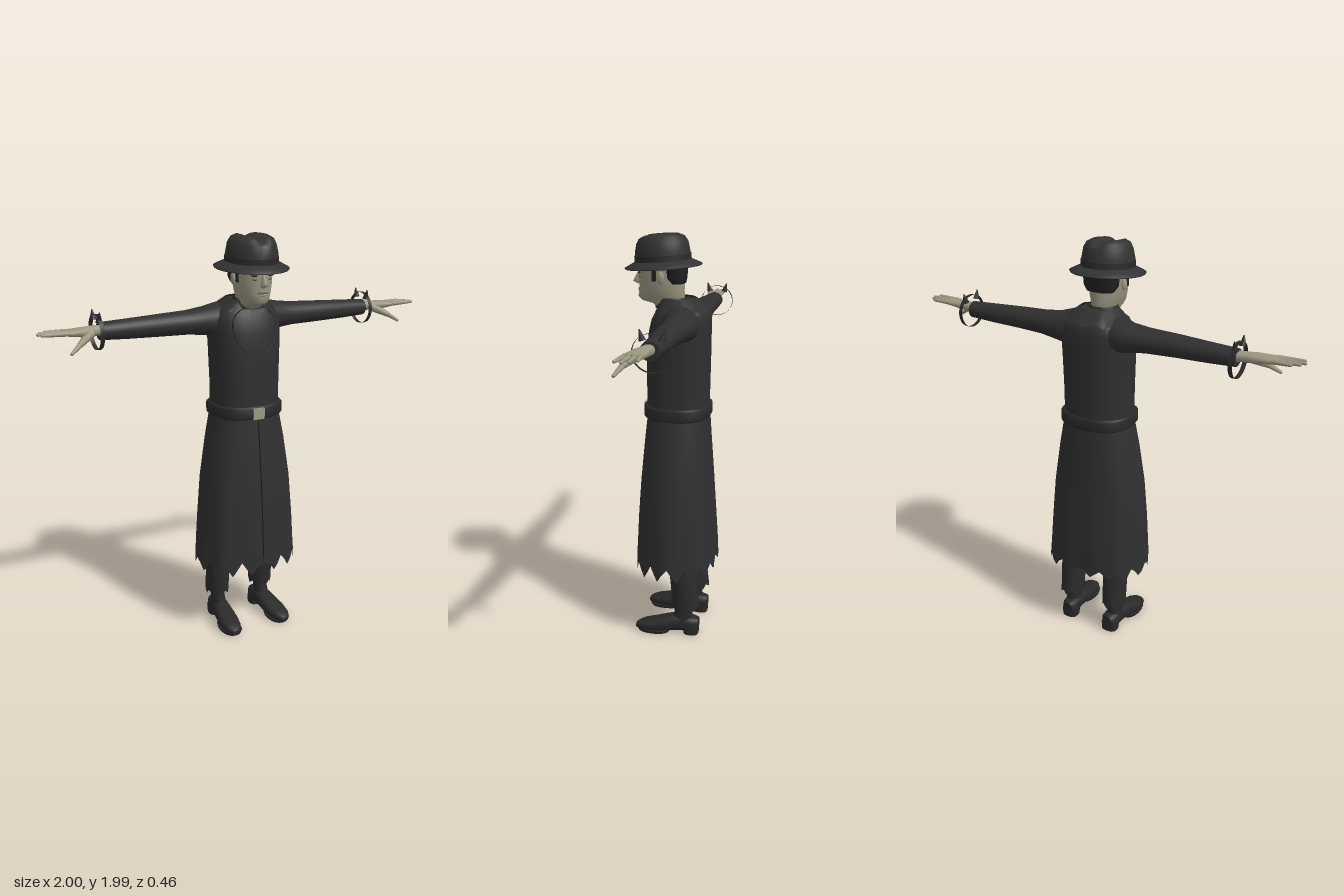
import * as THREE from 'three';

const paint = (name, color, side = THREE.FrontSide) => {
  const m = new THREE.MeshStandardMaterial({ color, side });
  m.name = name;
  return m;
};

// Unit axes [U, V, W]: a ring lies in U-V and travels along W.
const AXES = { x: ['y', 'z', 'x'], y: ['z', 'x', 'y'], z: ['x', 'y', 'z'] };

// Skin over rings [w, centreU, centreV, radiusU, radiusV]; p squares the section.
function loft(axis, rings, { n = 32, p = 2, caps = true, mod } = {}) {
  const [U, V, W] = AXES[axis], pos = [], idx = [];
  const pw = (v) => Math.sign(v) * Math.abs(v) ** (2 / p);
  const ringPoints = rings.map(([w, cu, cv, ru, rv], i) => {
    const list = [];
    for (let j = 0; j < n; j++) {
      const a = (j / n) * Math.PI * 2, v = new THREE.Vector3();
      v[U] = cu + ru * pw(Math.cos(a));
      v[V] = cv + rv * pw(Math.sin(a));
      v[W] = w;
      if (mod) mod(v, a, i, j);
      list.push(v);
    }
    return list;
  });
  ringPoints.flat().forEach((v) => pos.push(v.x, v.y, v.z));
  for (let i = 0; i < rings.length - 1; i++) {
    for (let j = 0; j < n; j++) {
      const k = (j + 1) % n, a = i * n + j, b = i * n + k;
      idx.push(a, b, b + n, a, b + n, a + n);
    }
  }
  if (caps) {
    for (const end of [0, rings.length - 1]) {
      const start = pos.length / 3, c = new THREE.Vector3();
      ringPoints[end].forEach((v) => { pos.push(v.x, v.y, v.z); c.addScaledVector(v, 1 / n); });
      pos.push(c.x, c.y, c.z);
      for (let j = 0; j < n; j++) {
        const a = start + j, b = start + (j + 1) % n;
        idx.push(start + n, ...(end ? [a, b] : [b, a]));
      }
    }
  }
  const g = new THREE.BufferGeometry();
  g.setAttribute('position', new THREE.Float32BufferAttribute(pos, 3));
  g.setIndex(idx);
  g.computeVertexNormals();
  return g;
}

// Tapered rod between two points.
function rod(a, b, r1, r2) {
  const A = new THREE.Vector3(...a), B = new THREE.Vector3(...b), d = B.clone().sub(A);
  const g = new THREE.CylinderGeometry(r2, r1, d.length(), 10);
  g.applyQuaternion(new THREE.Quaternion().setFromUnitVectors(new THREE.Vector3(0, 1, 0), d.normalize()));
  const m = A.add(B).multiplyScalar(0.5);
  return g.translate(m.x, m.y, m.z);
}

const ball = (x, y, z, rx, ry, rz) => new THREE.SphereGeometry(1, 16, 12).scale(rx, ry, rz).translate(x, y, z);
const box = (x, y, z, w, h, d) => new THREE.BoxGeometry(w, h, d).translate(x, y, z);

function mirrored(g) {
  const m = g.clone().scale(-1, 1, 1), a = m.index.array;
  for (let i = 0; i < a.length; i += 3) [a[i + 1], a[i + 2]] = [a[i + 2], a[i + 1]];
  return m;
}

export function createModel() {
  const model = new THREE.Group();
  const coat = paint('coat black', 0x2f2f2f, THREE.DoubleSide);
  const felt = paint('hat felt', 0x323232);
  const trousers = paint('trouser black', 0x2b2b2b, THREE.DoubleSide);
  const leather = paint('leather', 0x292929, THREE.DoubleSide);
  const skin = paint('skin', 0x99967f);
  const shade = paint('lip and lid', 0x66634f);
  const hairMat = paint('hair', 0x202020);
  const metal = paint('buckle metal', 0x9c9983);
  const seamMat = paint('seam', 0x191919);

  const add = (name, g, mat) => {
    const m = new THREE.Mesh(g, mat);
    m.name = name;
    model.add(m);
    return m;
  };
  const pair = (name, g, mat) => {
    add('left' + name, g, mat);
    add('right' + name, mirrored(g), mat);
  };

  // Coat body
  const torso = [
    [1.14, -0.023, 0, 0.147, 0.165], [1.3, -0.023, 0, 0.15, 0.165], [1.45, -0.025, 0, 0.15, 0.17],
    [1.54, -0.03, 0, 0.145, 0.174], [1.6, -0.037, 0, 0.138, 0.172], [1.64, -0.042, 0, 0.122, 0.155],
    [1.67, -0.035, 0, 0.1, 0.118], [1.69, -0.02, 0, 0.078, 0.085],
  ];
  add('coatBody', loft('y', torso, { n: 40, p: 2.4 }), coat);

  // Curved lapel seams lying on the chest
  const chestZ = (x, y) => {
    const i = Math.max(1, torso.findIndex((r) => r[0] >= y)), A = torso[i - 1], B = torso[i];
    const t = (y - A[0]) / (B[0] - A[0]), f = (k) => A[k] + (B[k] - A[k]) * t;
    return f(1) + f(3) * (1 - Math.abs(x / f(4)) ** 2.4) ** (1 / 2.4);
  };
  const lapel = [[0.05, 1.655], [0.09, 1.63], [0.112, 1.59], [0.108, 1.53], [0.08, 1.48], [0.04, 1.445]];
  const lapelCurve = new THREE.CatmullRomCurve3(lapel.map(([x, y]) => new THREE.Vector3(x, y, chestZ(x, y))));
  pair('LapelSeam', new THREE.TubeGeometry(lapelCurve, 30, 0.0025, 6), seamMat);

  // Collar: neck band and a ragged flap that drops over the back
  add('collarBand', loft('y', [[1.65, 0.005, 0, 0.085, 0.085], [1.7, 0.012, 0, 0.068, 0.07]],
    { caps: false }), coat);
  add('collarFlap', loft('y', [[1.635, -0.045, 0, 0.132, 0.158], [1.67, -0.035, 0, 0.108, 0.125],
    [1.698, -0.02, 0, 0.082, 0.09]], {
    n: 40, caps: false, p: 2.2,
    mod: (v, a, i, j) => { if (i === 0) v.y += (j % 4) * 0.006; v.y -= Math.max(0, Math.cos(a)) * 0.012; },
  }), coat);

  // Coat skirt with soft folds and a torn hem
  add('coatSkirt', loft('y', [[0.34, -0.022, 0, 0.213, 0.268], [0.46, -0.022, 0, 0.206, 0.261],
    [0.6, -0.02, 0, 0.196, 0.251], [0.8, -0.02, 0, 0.18, 0.233], [1.0, -0.022, 0, 0.162, 0.2],
    [1.15, -0.025, 0, 0.148, 0.168]], {
    n: 64, p: 2.3, caps: false,
    mod: (v, a, i, j) => {
      const k = 1 - i / 5;
      const s = 1 + k * (0.025 * (Math.cos(8 * a) - 1) - 0.09 * Math.exp(-(((a - Math.PI) / 0.2) ** 2)));
      v.x *= s;
      v.z = -0.022 + (v.z + 0.022) * s;
      if (i === 0) v.y += 0.028 * Math.abs((j % 4) - 2) + 0.008 * Math.sin(j * 1.7);
    },
  }), coat);
  const front = new THREE.CatmullRomCurve3([[1.14, 0.124], [1.0, 0.14], [0.8, 0.16], [0.6, 0.176], [0.4, 0.188]]
    .map(([y, z]) => new THREE.Vector3(0, y, z)));
  add('frontSeam', new THREE.TubeGeometry(front, 20, 0.003, 6), seamMat);

  // Belt
  add('belt', loft('y', [[1.128, -0.022, 0, 0.152, 0.174], [1.138, -0.022, 0, 0.162, 0.181],
    [1.18, -0.022, 0, 0.162, 0.181], [1.19, -0.022, 0, 0.15, 0.172]], { n: 40, p: 2.5 }), leather);
  add('buckle', box(-0.005, 1.157, 0.139, 0.058, 0.054, 0.014), metal);

  // Arms
  pair('Sleeve', loft('x', [[0.04, 1.6, -0.045, 0.075, 0.09], [0.13, 1.588, -0.055, 0.085, 0.093],
    [0.19, 1.588, -0.068, 0.068, 0.08], [0.28, 1.588, -0.064, 0.057, 0.067], [0.42, 1.587, -0.06, 0.052, 0.058],
    [0.58, 1.585, -0.062, 0.046, 0.049], [0.71, 1.585, -0.063, 0.04, 0.043]], { n: 28 }), coat);

  // Loose wrist bands with pointed tabs
  pair('WristBand', loft('x', [[0.706, 1.58, -0.075, 0.08, 0.085], [0.726, 1.58, -0.075, 0.08, 0.085]],
    { caps: false }), leather);
  for (const z of [-0.115, -0.035]) {
    pair('WristTab', rod([0.716, 1.63, z], [0.716, 1.675, z + (z + 0.075) * 0.3], 0.016, 0.002), leather);
  }

  // Hands
  pair('Palm', loft('x', [[0.69, 1.59, -0.06, 0.024, 0.028], [0.75, 1.592, -0.053, 0.023, 0.028],
    [0.79, 1.592, -0.043, 0.022, 0.037], [0.85, 1.595, -0.038, 0.016, 0.043], [0.885, 1.597, -0.038, 0.011, 0.041]],
    { n: 20, p: 2.3 }), skin);
  for (const [z, tipZ, tipX] of [[-0.068, -0.08, 0.948], [-0.048, -0.055, 0.978], [-0.026, -0.028, 0.992], [-0.006, 0.002, 0.98]]) {
    pair('Finger', rod([0.86, 1.597, z], [tipX, 1.6, tipZ], 0.0115, 0.007), skin);
    pair('FingerTip', ball(tipX, 1.6, tipZ, 0.009, 0.007, 0.007), skin);
  }
  pair('ThumbBase', rod([0.755, 1.585, -0.035], [0.82, 1.55, 0.015], 0.022, 0.014), skin);
  pair('ThumbJoint', ball(0.82, 1.55, 0.015, 0.014, 0.014, 0.014), skin);
  pair('ThumbTip', rod([0.82, 1.55, 0.015], [0.872, 1.515, 0.042], 0.013, 0.007), skin);

  // Head and neck
  add('head', loft('y', [[1.63, 0.01, 0, 0.06, 0.062], [1.67, 0.03, 0, 0.072, 0.06], [1.682, 0.056, 0, 0.1, 0.058],
    [1.7, 0.062, 0, 0.112, 0.066], [1.73, 0.06, 0, 0.108, 0.078], [1.78, 0.06, 0, 0.11, 0.087],
    [1.87, 0.06, 0, 0.11, 0.09]], { n: 36 }), skin);
  add('nose', loft('y', [[1.758, 0.165, 0, 0.012, 0.012], [1.768, 0.17, 0, 0.031, 0.018],
    [1.785, 0.167, 0, 0.025, 0.012], [1.82, 0.16, 0, 0.014, 0.009]], { n: 16 }), skin);
  add('upperLip', ball(0, 1.735, 0.164, 0.028, 0.006, 0.01), shade);
  add('lowerLip', ball(0, 1.725, 0.165, 0.022, 0.005, 0.01), skin);
  pair('Eye', ball(0.035, 1.797, 0.156, 0.015, 0.006, 0.008), shade);
  pair('Brow', ball(0.037, 1.814, 0.157, 0.021, 0.005, 0.008), hairMat);
  pair('Ear', ball(0.092, 1.795, 0.045, 0.01, 0.03, 0.018), skin);
  pair('Sideburn', box(0.086, 1.815, 0.078, 0.01, 0.07, 0.02), hairMat);
  add('hair', loft('y', [[1.765, -0.015, 0, 0.038, 0.068], [1.79, -0.008, 0, 0.05, 0.086],
    [1.87, -0.004, 0, 0.058, 0.094]], { n: 32, p: 2.3 }), hairMat);

  // Hat: brim, band and a creased, pinched crown
  const hat = new THREE.Group();
  hat.name = 'hat';
  hat.position.set(0, 1.85, 0.053);
  hat.rotation.x = 0.07;
  model.add(hat);
  const brim = loft('y', [[0, 0, 0, 0.1, 0.08], [-0.006, 0, 0, 0.13, 0.12], [-0.012, 0, 0, 0.18, 0.172],
    [-0.006, 0, 0, 0.184, 0.176], [0.006, 0, 0, 0.16, 0.152], [0.022, 0, 0, 0.128, 0.12]], { n: 48 });
  const crown = loft('y', [[0.015, 0, 0, 0.132, 0.122], [0.06, 0, 0, 0.13, 0.12], [0.1, 0, 0, 0.124, 0.114],
    [0.125, 0, 0, 0.112, 0.1], [0.138, 0, 0, 0.088, 0.075], [0.139, 0, 0, 0.055, 0.045], [0.135, 0, 0, 0.02, 0.015]], {
    n: 48,
    mod: (v, a, i) => {
      const crease = Math.exp(-((v.x / 0.028) ** 2));
      if (i > 2) v.y -= 0.018 * crease;
      if (i > 1 && i < 5 && v.z > 0) { v.z -= 0.014 * crease; v.x *= 1 - 0.08 * v.z / 0.12; }
    },
  });
  const band = loft('y', [[0.018, 0, 0, 0.135, 0.125], [0.046, 0, 0, 0.134, 0.124]], { n: 48 });
  for (const [name, g, m] of [['brim', brim, felt], ['crown', crown, felt], ['hatBand', band, leather]]) {
    const mesh = new THREE.Mesh(g, m);
    mesh.name = name;
    hat.add(mesh);
  }

  // Trousers with frayed cuffs
  pair('TrouserLeg', loft('y', [[0.14, -0.09, 0.127, 0.07, 0.058], [0.25, -0.082, 0.126, 0.068, 0.06],
    [0.4, -0.07, 0.125, 0.07, 0.065], [0.75, -0.04, 0.09, 0.085, 0.075]], {
    n: 24, caps: false, mod: (v, a, i, j) => { if (i === 0) v.y += (j % 3) * 0.012; },
  }), trousers);

  // Shoes
  pair('Ankle', loft('y', [[0.07, -0.07, 0.127, 0.055, 0.04], [0.12, -0.08, 0.127, 0.045, 0.034],
    [0.24, -0.085, 0.127, 0.045, 0.036]], { n: 20 }), leather);
  pair('Shoe', loft('z', [[-0.155, 0.122, 0.052, 0.028, 0.034], [-0.13, 0.122, 0.05, 0.042, 0.042],
    [-0.06, 0.126, 0.059, 0.044, 0.045], [0, 0.131, 0.05, 0.048, 0.04], [0.06, 0.137, 0.038, 0.053, 0.033],
    [0.12, 0.141, 0.03, 0.046, 0.026], [0.15, 0.143, 0.025, 0.032, 0.02], [0.166, 0.144, 0.022, 0.014, 0.011]],
    { n: 24, p: 2.5 }), leather);
  pair('Heel', loft('y', [[0, -0.118, 0.122, 0.037, 0.04], [0.04, -0.118, 0.122, 0.039, 0.043]],
    { n: 20, p: 3 }), leather);
  pair('Sole', loft('y', [[0, 0.075, 0.138, 0.08, 0.05], [0.015, 0.075, 0.138, 0.086, 0.054]], { n: 24, p: 2.3 }), leather);

  return model;
}
